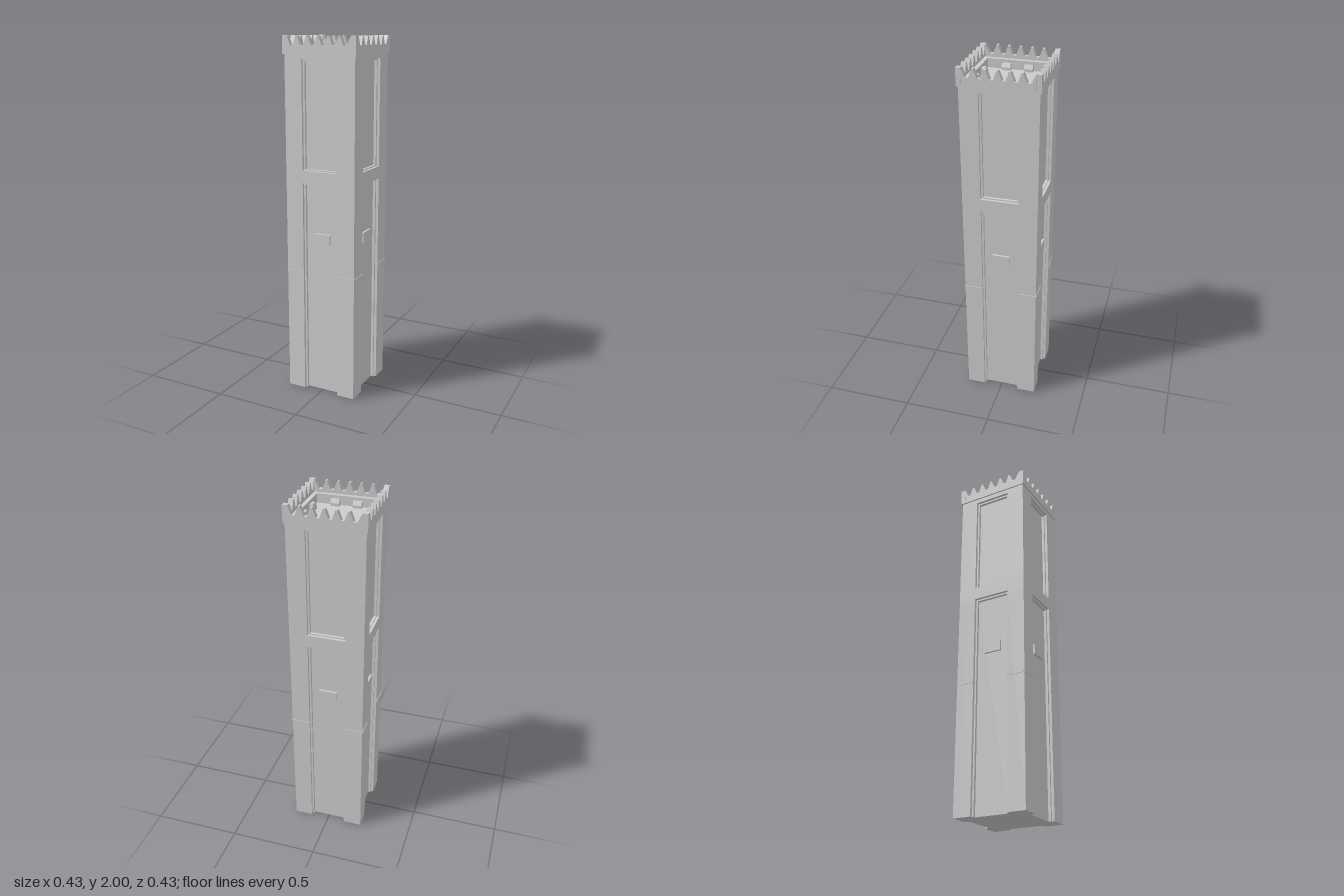
import * as THREE from 'three';

const material = new THREE.MeshStandardMaterial({ color: 0xcccccc, flatShading: true });

const BODY = 0.207;    // half width of the shaft
const CROWN = 0.215;   // half width of the parapet
const INNER = 0.188;   // inner face of the parapet
const PIT = 0.165;     // half width of the sunken roof
const FLOOR = 1.885;   // roof level

function add(parent, name, geometry) {
  const mesh = new THREE.Mesh(geometry, material);
  mesh.name = name;
  parent.add(mesh);
  return mesh;
}

function shapeOf(points) {
  return new THREE.Shape(points.map(([x, y]) => new THREE.Vector2(x, y)));
}

// Extrudes a plan outline upwards from y0 to y1
function rise(shape, y0, y1) {
  const g = new THREE.ExtrudeGeometry(shape, { depth: y1 - y0, bevelEnabled: false });
  return g.rotateX(-Math.PI / 2).translate(0, y0, 0);
}

// Square plan whose four sides are notched by [half width, depth] steps
function plan(half, steps) {
  const side = [[-half, -half]];
  let depth = 0;
  for (const [w, d] of steps) {
    side.push([-w, -half + depth], [-w, -half + d]);
    depth = d;
  }
  for (const [x, y] of side.slice(1).reverse()) side.push([-x, y]);
  const points = [];
  for (let k = 0; k < 4; k++) {
    const c = [1, 0, -1, 0][k], s = [0, 1, 0, -1][k];
    for (const [x, y] of side) points.push([x * c - y * s, x * s + y * c]);
  }
  return shapeOf(points);
}

// Elevation of a parapet side with six flat-bottomed notches
function toothedWall(half) {
  const teeth = 0.187, top = 2, valley = 1.952, step = (2 * teeth) / 6;
  const points = [[-half, 1.905], [half, 1.905]];
  if (half > teeth) points.push([half, top]);
  for (let i = 0; i < 6; i++) {
    const x = teeth - i * step;
    points.push([x - (i ? 0.009 : 0), top], [x - 0.026, valley], [x - 0.043, valley], [x - step, top]);
  }
  if (half > teeth) points.push([-half, top]);
  return new THREE.ExtrudeGeometry(shapeOf(points), { depth: CROWN - INNER, bevelEnabled: false })
    .translate(0, 0, INNER);
}

export function createModel() {
  const tower = new THREE.Group();
  tower.name = 'tower';

  // Shaft in storeys: solid bands and stepped panel recesses on every side
  const solid = [];
  const outer = [[0.105, 0.015]];
  const full = [[0.105, 0.015], [0.095, 0.03]];
  const storeys = [
    ['lowerPanels', 0, 1.21, full],
    ['lowerPanelHead', 1.21, 1.22, outer],
    ['middleBand', 1.22, 1.29, solid],
    ['upperPanelSill', 1.29, 1.297, outer],
    ['upperPanels', 1.297, 1.87, full],
    ['upperPanelHead', 1.87, 1.88, outer],
    ['roofSlab', 1.88, FLOOR, solid],
  ];
  for (const [name, y0, y1, steps] of storeys) add(tower, name, rise(plan(BODY, steps), y0, y1));

  // Thin string course around the corner posts
  add(tower, 'stringCourse', rise(plan(BODY + 0.003, [[0.103, 0.018], [0.094, 0.033]]), 0.712, 0.718));

  // Ledge around the sunken roof
  const rim = plan(BODY, solid);
  rim.holes.push(plan(PIT, solid));
  add(tower, 'roofLedge', rise(rim, FLOOR, 1.935));

  // Block with a sloped front, seen from its end
  const blockEnd = shapeOf([[PIT, FLOOR], [PIT, 1.918], [0.148, 1.918], [0.139, 1.9], [0.139, FLOOR]]);

  for (let k = 0; k < 4; k++) {
    const side = new THREE.Group();
    side.name = ['frontSide', 'leftSide', 'backSide', 'rightSide'][k];
    side.rotation.y = (k * Math.PI) / 2;
    tower.add(side);

    // Front and back walls carry the corners
    add(side, 'parapet', toothedWall(k % 2 ? 0.187 : CROWN));

    // Plaque on the lower panel
    add(side, 'plaque', new THREE.BoxGeometry(0.1, 0.058, 0.02)).position.set(0, 0.91, 0.179);

    // Pair of blocks against the ledge
    for (const x of [-0.06, 0.06]) {
      const g = new THREE.ExtrudeGeometry(blockEnd, { depth: 0.047, bevelEnabled: false });
      g.translate(0, 0, -0.0235).rotateY(-Math.PI / 2);
      add(side, 'roofBlock', g).position.x = x;
    }
  }
  return tower;
}
